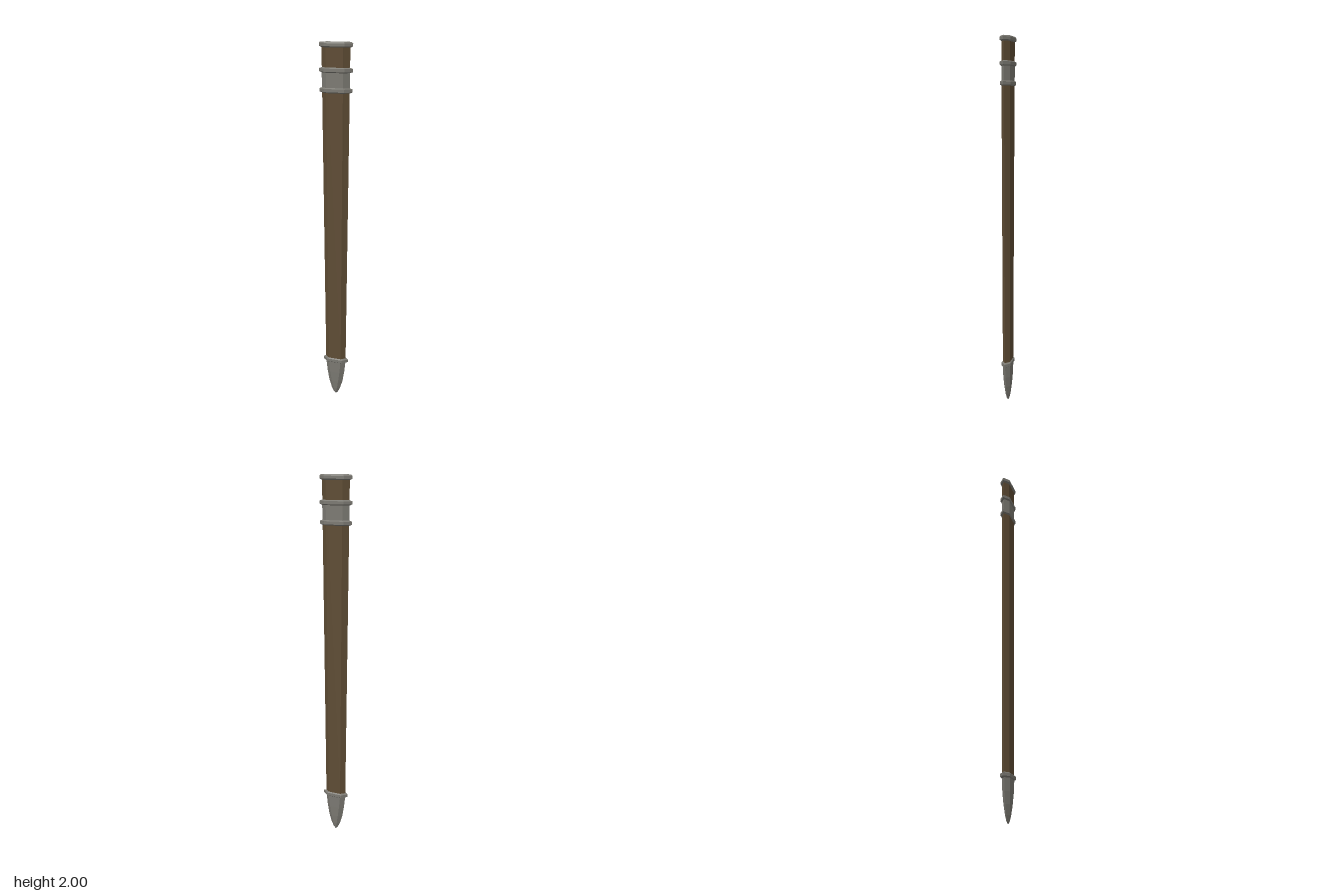
import * as THREE from 'three';

// Stack of flattened six-sided rings; each ring is [y, half width, half flat, half depth]
function loft(rings, name, material) {
  const section = ([y, w, f, d]) =>
    [[w, 0], [f, d], [-f, d], [-w, 0], [-f, -d], [f, -d]].map(([x, z]) => [x, y, z]);
  const pos = [];
  for (let i = 0; i < rings.length - 1; i++) {
    const a = section(rings[i]), b = section(rings[i + 1]);
    for (let j = 0; j < 6; j++) {
      const k = (j + 1) % 6;
      pos.push(...a[j], ...b[j], ...b[k], ...a[j], ...b[k], ...a[k]);
    }
  }
  const geo = new THREE.BufferGeometry();
  geo.setAttribute('position', new THREE.Float32BufferAttribute(pos, 3));
  geo.computeVertexNormals();
  const mesh = new THREE.Mesh(geo, material);
  mesh.name = name;
  return mesh;
}

// Body outline at a given height, tapering towards the tip
function bodyRing(y, grow = 0) {
  const t = (y - 0.22) / (2 - 0.22);
  return [y, 0.059 + 0.017 * t + grow, 0.035 + 0.011 * t + grow * 0.6, 0.02 + 0.003 * t + grow * 0.4];
}

export function createModel() {
  const group = new THREE.Group();
  const leather = new THREE.MeshStandardMaterial({ color: 0x5e4c34 });
  leather.name = 'brown leather';
  const metal = new THREE.MeshStandardMaterial({ color: 0x7b7972 });
  metal.name = 'grey metal';

  // Tapered sheath
  group.add(loft([bodyRing(0.22), bodyRing(1.98)], 'sheath', leather));

  // Hollow interior, running down to a closed end
  group.add(loft([[1.9, 0.055, 0.034, 0.018], [0.3, 0.03, 0.018, 0.009], [0.25, 0, 0, 0]], 'interior', leather));

  // Raised collars, each with bevelled edges
  const collar = (y, name) => group.add(loft([
    bodyRing(y - 0.014, -0.002), bodyRing(y - 0.008, 0.015),
    bodyRing(y + 0.008, 0.015), bodyRing(y + 0.014, -0.002),
  ], name, metal));
  collar(1.863, 'upperCollar');
  collar(1.763, 'lowerCollar');
  collar(0.228, 'tipCollar');

  // Metal band between the two collars
  group.add(loft([bodyRing(1.763, 0.001), bodyRing(1.863, 0.001)], 'band', metal));

  // Mouth rim, rolling over into the opening
  group.add(loft([
    [1.972, 0.074, 0.045, 0.022], [1.979, 0.09, 0.055, 0.029], [1.993, 0.09, 0.055, 0.029],
    [2, 0.083, 0.051, 0.025], [1.993, 0.075, 0.046, 0.021], [1.9, 0.055, 0.034, 0.018],
  ], 'mouthRim', metal));

  // Curved pointed tip
  group.add(loft([
    [0, 0, 0, 0], [0.012, 0.012, 0.004, 0.007], [0.04, 0.026, 0.01, 0.012],
    [0.09, 0.041, 0.019, 0.017], [0.15, 0.051, 0.028, 0.02], [0.22, 0.059, 0.035, 0.021],
  ], 'tip', metal));

  return group;
}
